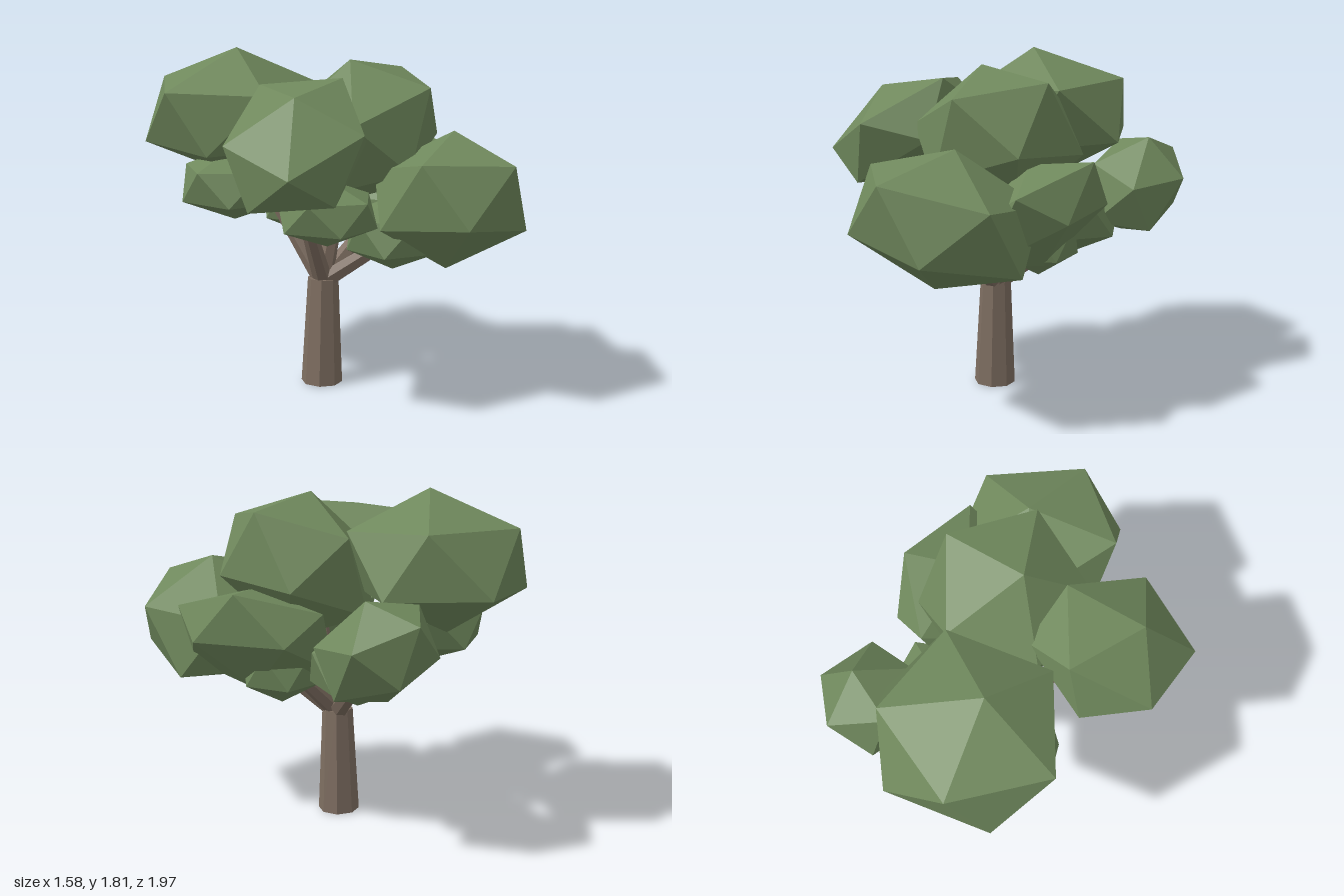
import * as THREE from 'three';

const leaf = new THREE.MeshStandardMaterial({ color: 0x6f885c, flatShading: true });
leaf.name = 'leaf green';
const bark = new THREE.MeshStandardMaterial({ color: 0x7e6e61, flatShading: true });
bark.name = 'bark brown';

const V = (a) => new THREE.Vector3(...a);

// Skewed icosahedron: its centre and the three corners of one face set its shape
function foliage(name, centre, ...corners) {
  const p = (1 + Math.sqrt(5)) / 2;
  const regular = new THREE.Matrix4().makeBasis(V([0, 1, p]), V([0, -1, p]), V([p, 0, 1]));
  const [a, b, c] = corners.map((k) => V(k).sub(V(centre)));
  const skew = new THREE.Matrix4().makeBasis(a, b, c);
  if (skew.determinant() < 0) skew.makeBasis(a, c, b); // keep faces outward
  const g = new THREE.IcosahedronGeometry(Math.hypot(1, p), 0);
  g.applyMatrix4(skew.multiply(regular.invert()));
  const m = new THREE.Mesh(g, leaf);
  m.name = name;
  m.position.set(...centre);
  return m;
}

// Flattened upright clump: radius r, half height h, turned about y
function smallFoliage(name, [x, y, z], r, h, turn) {
  const ring = (t) => [x + 0.894 * r * Math.cos(t), y + 0.447 * h, z + 0.894 * r * Math.sin(t)];
  return foliage(name, [x, y, z], [x, y + h, z], ring(turn), ring(turn + Math.PI * 0.4));
}

// Tapered limb between two points
function limb(name, a, b, r0, r1, sides) {
  const d = V(b).sub(V(a));
  const m = new THREE.Mesh(new THREE.CylinderGeometry(r1, r0, d.length(), sides), bark);
  m.name = name;
  m.position.copy(V(a)).addScaledVector(d, 0.5);
  m.quaternion.setFromUnitVectors(new THREE.Vector3(0, 1, 0), d.normalize());
  return m;
}

export function createModel() {
  const tree = new THREE.Group();
  tree.name = 'tree';

  tree.add(limb('trunk', [-0.04, 0.005, 0], [-0.03, 0.59, 0], 0.112, 0.083, 8));

  // Branches fan out from the fork to the large clumps
  const fork = [-0.03, 0.57, 0];
  const tips = [
    [-0.36, 1.12, 0.22], [-0.24, 1.3, -0.45], [0.32, 0.98, 0.48],
    [0.38, 0.98, 0.06], [0.26, 1.0, -0.58], [0.08, 1.3, 0.07],
  ];
  tips.forEach((t) => tree.add(limb('branch', fork, t, 0.052, 0.03, 6)));

  // Large clumps: centre, then three corners of one face
  const large = [
    ['backLeftFoliage', [-0.25, 1.455, -0.53], [-0.275, 1.81, -0.435], [-0.46, 1.635, -0.88], [0.085, 1.645, -0.79]],
    ['crownFoliage', [0.14, 1.39, 0.105], [0.04, 1.765, 0.135], [0.48, 1.7, 0.045], [0.285, 1.63, 0.48]],
    ['frontLeftFoliage', [-0.43, 1.39, 0.295], [-0.52, 1.63, 0.4], [-0.12, 1.69, 0.27], [-0.305, 1.46, 0.66]],
    ['frontRightFoliage', [0.35, 1.06, 0.57], [0.4, 1.41, 0.54], [0.4, 1.28, 0.97], [0.79, 1.17, 0.61]],
    ['rightFoliage', [0.45, 1.04, 0.09], [0.7, 1.33, -0.07], [0.79, 1.06, 0.16], [0.71, 1.2, 0.41]],
    ['backRightFoliage', [0.31, 1.095, -0.685], [0.4, 1.36, -0.7], [0.305, 1.27, -0.97], [0.57, 1.15, -0.8]],
  ];
  large.forEach((c) => tree.add(foliage(...c)));

  // Small clumps tucked underneath
  const small = [
    ['lowerBackLeftFoliage', [-0.34, 1.09, -0.38], 0.32, 0.2, 2.9],
    ['lowerFrontLeftFoliage', [-0.29, 1.04, 0.36], 0.28, 0.17, 0.1],
    ['lowerFrontFoliage', [0.13, 0.885, 0.38], 0.27, 0.195, 3.1],
    ['lowerRightFoliage', [0.35, 0.9, 0], 0.23, 0.2, 4.6],
    ['lowerBackFoliage', [0.16, 0.94, -0.38], 0.28, 0.21, 0.3],
  ];
  small.forEach((c) => tree.add(smallFoliage(...c)));
  return tree;
}
